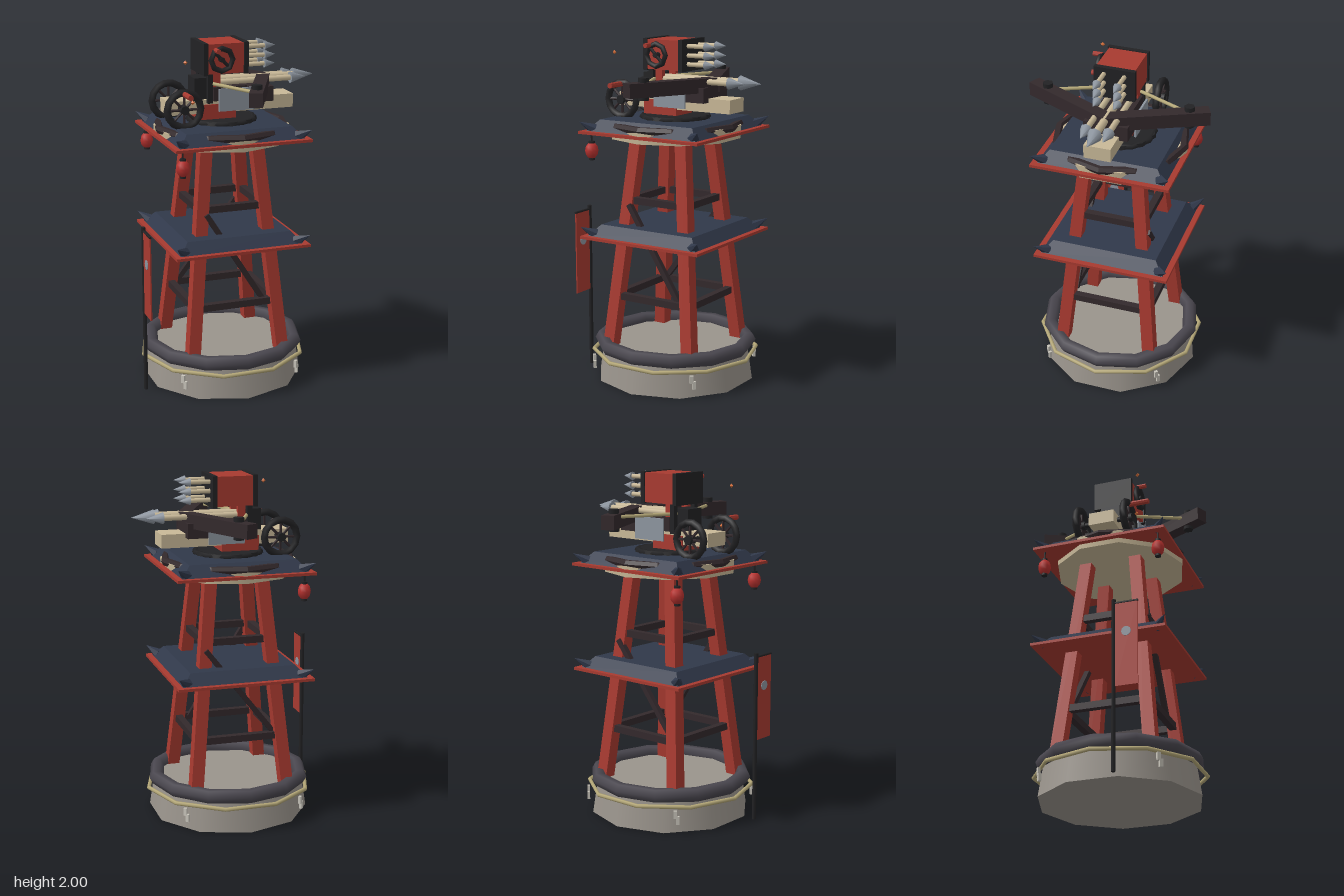
import * as THREE from 'three';

const mat = (color, flatShading = false) => new THREE.MeshStandardMaterial({ color, flatShading });
const red = mat(0xa83a30, true), slate = mat(0x30384a, true), stone = mat(0x9a948c), rubber = mat(0x4a474f);
const rope = mat(0xb5a878), wood = mat(0xc9b998), darkWood = mat(0x33292c, true), black = mat(0x222224);
const steel = mat(0x8d959f), lanternRed = mat(0xb8322f), ember = mat(0xd8703a, true), pale = mat(0xc9c5bb);
const V = (x, y, z) => new THREE.Vector3(x, y, z);

export function createModel() {
  const model = new THREE.Group();
  const tower = new THREE.Group();
  tower.name = 'tower';
  tower.position.x = -0.02;
  const engine = new THREE.Group();
  engine.name = 'siegeEngine';
  model.add(tower, engine);

  const add = (parent, name, geo, material) => {
    const mesh = new THREE.Mesh(geo, material);
    mesh.name = name;
    parent.add(mesh);
    return mesh;
  };
  // box given by its bounds
  const box = (parent, name, m, x0, x1, y0, y1, z0, z1) => add(parent, name,
    new THREE.BoxGeometry(x1 - x0, y1 - y0, z1 - z0).translate((x0 + x1) / 2, (y0 + y1) / 2, (z0 + z1) / 2), m);
  // round bar or cone from a to b
  const rod = (parent, name, m, a, b, r0, r1 = r0, sides = 8) => {
    const mesh = add(parent, name, new THREE.CylinderGeometry(r1, r0, a.distanceTo(b), sides), m);
    mesh.position.copy(a).lerp(b, 0.5);
    mesh.quaternion.setFromUnitVectors(V(0, 1, 0), b.clone().sub(a).normalize());
    return mesh;
  };
  // rectangular beam from a to b
  const beam = (parent, name, m, a, b, w, h) => {
    const mesh = add(parent, name, new THREE.BoxGeometry(w, h, a.distanceTo(b)), m);
    mesh.position.copy(a).lerp(b, 0.5);
    mesh.lookAt(b);
    return mesh;
  };
  const ring = (parent, name, m, y, r, tube, sides) => add(parent, name,
    new THREE.TorusGeometry(r, tube, 6, sides).rotateX(Math.PI / 2).translate(0, y, 0), m);
  const drum = (parent, name, m, r0, r1, y0, y1, sides = 10) => add(parent, name,
    new THREE.CylinderGeometry(r1, r0, y1 - y0, sides).translate(0, (y0 + y1) / 2, 0), m);

  // stone base with padded rim and rope
  drum(tower, 'base', stone, 0.47, 0.44, 0, 0.2);
  ring(tower, 'paddedRim', rubber, 0.212, 0.438, 0.042, 12);
  ring(tower, 'ropeBand', rope, 0.155, 0.486, 0.012, 10);

  const corners = [[1, 1], [1, -1], [-1, 1], [-1, -1]];
  for (const [sx, sz] of corners) {
    // hanging hooks on the rope
    const hook = new THREE.Group();
    hook.name = 'ropeHook';
    hook.position.set(sx * 0.345, 0, sz * 0.345);
    hook.rotation.y = Math.atan2(sx, sz);
    box(hook, 'hookTop', pale, -0.02, 0, 0.095, 0.14, -0.008, 0.008);
    box(hook, 'hookBottom', pale, -0.006, 0.014, 0.06, 0.105, -0.008, 0.008);
    tower.add(hook);

    // leaning legs: a box sheared towards the axis
    const leg = new THREE.BoxGeometry(0.072, 1.28, 0.072);
    const p = leg.attributes.position;
    for (let i = 0; i < p.count; i++) {
      const top = p.getY(i) > 0, c = top ? 0.15 : 0.275;
      p.setXYZ(i, p.getX(i) + sx * c, top ? 1.46 : 0.18, p.getZ(i) + sz * c);
    }
    leg.computeVertexNormals();
    add(tower, 'leg', leg, red);
  }

  // horizontal and diagonal braces
  for (const [y, c] of [[0.5, 0.245], [1.07, 0.19]]) {
    for (const s of [-1, 1]) {
      box(tower, 'crossBrace', darkWood, -c, c, y - 0.02, y + 0.02, s * c - 0.02, s * c + 0.02);
      box(tower, 'crossBrace', darkWood, s * c - 0.02, s * c + 0.02, y - 0.02, y + 0.02, -c, c);
    }
  }
  for (const s of [-1, 1])
    beam(tower, 'diagonalBrace', darkWood, V(s * 0.19, 0.51, s * 0.225), V(-s * 0.185, 1.04, s * 0.225), 0.03, 0.03);

  // two square roofs with corner spikes
  for (const y of [0.85, 1.465]) {
    box(tower, 'roofEave', red, -0.4, 0.4, y, y + 0.016, -0.4, 0.4);
    const roof = new THREE.CylinderGeometry(0.31 * Math.SQRT2, 0.368 * Math.SQRT2, 0.065, 4);
    add(tower, 'roof', roof.rotateY(Math.PI / 4).translate(0, y + 0.047, 0), slate);
    for (const [sx, sz] of corners)
      rod(tower, 'roofSpike', slate, V(sx * 0.335, y + 0.025, sz * 0.335), V(sx * 0.397, y + 0.07, sz * 0.397), 0.034, 0, 6);
  }

  // upper deck showing through the roof slopes
  drum(tower, 'deck', wood, 0.385, 0.39, 1.437, 1.515);
  ring(tower, 'deckRing', darkWood, 1.51, 0.37, 0.024, 12);
  drum(tower, 'turntable', black, 0.21, 0.2, 1.525, 1.565);
  ring(tower, 'turntableRim', black, 1.55, 0.19, 0.018, 10);

  // lanterns
  for (const z of [-0.347, 0.347]) {
    const lantern = new THREE.Group();
    lantern.name = 'lantern';
    lantern.position.set(-0.345, 1.367, z);
    add(lantern, 'lanternBody', new THREE.SphereGeometry(0.039, 8, 6).scale(1, 1.25, 1), lanternRed);
    rod(lantern, 'lanternFoot', black, V(0, -0.055, 0), V(0, -0.04, 0), 0.018);
    rod(lantern, 'lanternCap', black, V(0, 0.04, 0), V(0, 0.055, 0), 0.018);
    rod(lantern, 'lanternCord', black, V(0, 0.05, 0), V(0, 0.1, 0), 0.005);
    tower.add(lantern);
  }

  // banner on a pole
  const banner = new THREE.Group();
  banner.name = 'banner';
  rod(banner, 'pole', black, V(-0.538, 0, 0.145), V(-0.538, 0.99, 0.145), 0.012, 0.012, 6);
  rod(banner, 'crossbar', black, V(-0.538, 0.968, 0.14), V(-0.538, 0.968, 0.285), 0.007);
  box(banner, 'cloth', red, -0.542, -0.534, 0.475, 0.965, 0.155, 0.283);
  rod(banner, 'disc', steel, V(-0.546, 0.79, 0.218), V(-0.53, 0.79, 0.218), 0.028, 0.028, 10);
  model.add(banner);

  // carriage
  box(engine, 'pedestal', red, -0.18, 0.04, 1.555, 1.65, -0.085, 0.085);
  box(engine, 'stock', wood, -0.36, 0.39, 1.6, 1.678, -0.077, 0.077);
  box(engine, 'frontBlock', darkWood, 0.1, 0.25, 1.655, 1.74, -0.127, 0.127);
  box(engine, 'rearBlock', black, -0.2, -0.1, 1.67, 1.8, -0.06, 0.06);
  box(engine, 'boltBed', darkWood, -0.1, 0.1, 1.67, 1.75, -0.1, 0.1);
  for (const s of [-1, 1]) {
    box(engine, 'sidePlate', steel, -0.08, 0.13, 1.617, 1.745, s * 0.13 - 0.006, s * 0.13 + 0.006);
    box(engine, 'launcherPost', black, -0.135, -0.105, 1.66, 1.84, s * 0.09 - 0.015, s * 0.09 + 0.015);
    box(engine, 'launcherBracket', red, -0.1, -0.055, 1.74, 1.84, s * 0.07 - 0.015, s * 0.07 + 0.015);
  }

  // spoked wheels
  rod(engine, 'axle', black, V(-0.29, 1.645, -0.16), V(-0.29, 1.645, 0.16), 0.015);
  for (const z of [-0.148, 0.145]) {
    const wheel = new THREE.Group();
    wheel.name = 'wheel';
    wheel.position.set(-0.29, 1.645, z);
    add(wheel, 'tyre', new THREE.TorusGeometry(0.098, 0.021, 6, 14), black);
    rod(wheel, 'hub', black, V(0, 0, -0.025), V(0, 0, 0.025), 0.026);
    for (let i = 0; i < 8; i++) {
      const a = i * Math.PI / 4;
      rod(wheel, 'spoke', darkWood, V(0, 0, 0), V(0.095 * Math.cos(a), 0.095 * Math.sin(a), 0), 0.008, 0.008, 5);
    }
    engine.add(wheel);
  }
  rod(engine, 'wheelHandle', red, V(-0.29, 1.735, 0.15), V(-0.29, 1.735, 0.27), 0.016);

  // bow arms, pins and string
  for (const s of [-1, 1]) {
    beam(engine, 'bowArm', darkWood, V(0.24, 1.75, -s * 0.01), V(-0.005, 1.75, s * 0.51), 0.075, 0.08);
    rod(engine, 'bowPin', black, V(0.04, 1.69, s * 0.41), V(0.04, 1.815, s * 0.41), 0.03, 0.03, 6);
    rod(engine, 'bowString', rope, V(0.03, 1.77, s * 0.39), V(-0.145, 1.77, 0), 0.01);
  }

  // bolts and rockets
  const arrow = (name, x0, x1, y, z, r, headR, headL) => {
    rod(engine, name + 'Shaft', wood, V(x0, y, z), V(x1 - headL, y, z), r);
    rod(engine, name + 'Head', steel, V(x1 - headL, y, z), V(x1, y, z), headR, 0);
  };
  arrow('mainBolt', -0.14, 0.545, 1.77, 0, 0.023, 0.042, 0.13);
  for (const s of [-1, 1]) {
    arrow('sideBolt', -0.1, 0.475, 1.77, s * 0.063, 0.017, 0.034, 0.1);
    for (const y of [1.86, 1.91, 1.963]) arrow('rocket', 0.08, 0.285, y, s * 0.058, 0.013, 0.025, 0.068);
  }

  // rocket launcher box
  box(engine, 'launcherBox', red, -0.14, 0.08, 1.826, 1.995, -0.11, 0.11);
  box(engine, 'launcherBack', black, -0.163, -0.136, 1.82, 2, -0.118, 0.118);
  box(engine, 'launcherFront', black, 0.075, 0.102, 1.82, 2, -0.118, 0.118);

  // handwheel with crank handle
  const hand = new THREE.Group();
  hand.name = 'handwheel';
  hand.position.set(-0.063, 1.91, 0.135);
  add(hand, 'handwheelRim', new THREE.TorusGeometry(0.064, 0.016, 6, 8), black);
  rod(hand, 'handwheelBar', black, V(-0.045, 0.045, 0), V(0.045, -0.045, 0), 0.01);
  rod(hand, 'handwheelHub', black, V(0, 0, -0.03), V(0, 0, 0.012), 0.015);
  rod(hand, 'crankHandle', red, V(-0.037, 0.055, 0), V(-0.037, 0.055, 0.055), 0.014);
  engine.add(hand);

  // embers
  for (const [x, y, z] of [[-0.3, 1.92, 0.205], [-0.25, 1.69, 0.18]])
    add(engine, 'ember', new THREE.OctahedronGeometry(0.013), ember).position.set(x, y, z);

  return model;
}
